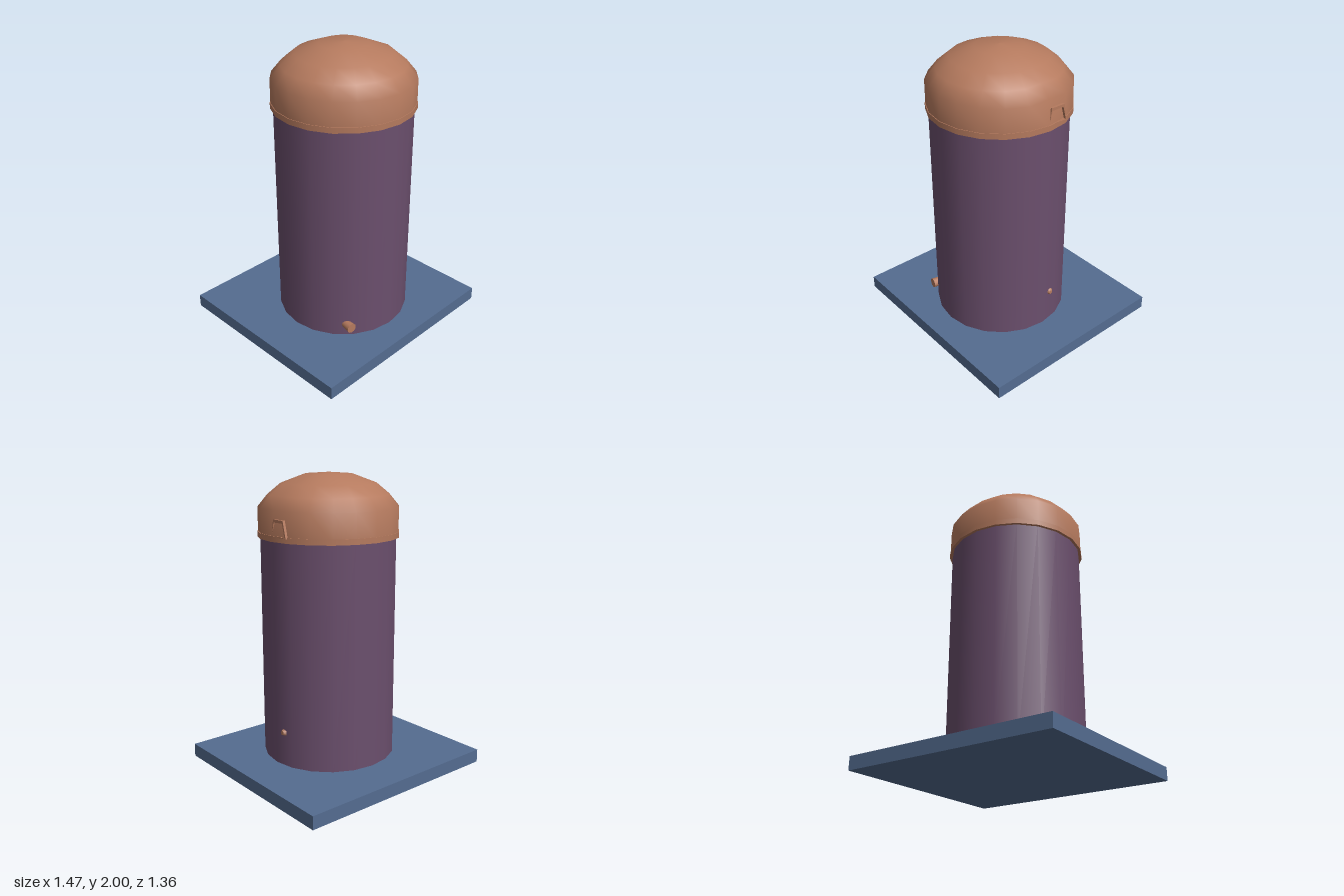
import * as THREE from 'three';

const SIDES = 20;
const CX = 0.006, CZ = 0.055; // axis of the tank

function material(name, color) {
  const m = new THREE.MeshStandardMaterial({ color });
  m.name = name;
  return m;
}

export function createModel() {
  const group = new THREE.Group();
  const blue = material('slate blue', 0x546c90);
  const purple = material('dusky purple', 0x6b4f6d);
  const copper = material('copper', 0xb57a5e);

  const add = (name, geometry, mat, x, y, z) => {
    const mesh = new THREE.Mesh(geometry, mat);
    mesh.name = name;
    mesh.position.set(x, y, z);
    group.add(mesh);
    return mesh;
  };
  const lathe = (points) =>
    new THREE.LatheGeometry(points.map(([r, y]) => new THREE.Vector2(r, y)), SIDES);

  // Square plinth and smooth tank wall
  add('base', new THREE.BoxGeometry(1.47, 0.09, 1.36), blue, 0, 0.045, 0);
  add('body', new THREE.CylinderGeometry(0.452, 0.452, 1.52, SIDES), purple, CX, 0.85, CZ);

  // Rim collar under the dome
  add('rim', new THREE.CylinderGeometry(0.471, 0.471, 0.037, SIDES), copper, CX, 1.6035, CZ);

  // Dome, slightly flattened on the side that carries the vent
  const dome = lathe([[0.467, 1.6], [0.466, 1.78], [0.4, 1.86], [0.315, 1.93], [0.16, 1.988], [0, 2]]);
  const p = dome.attributes.position;
  for (let i = 0; i < p.count; i++) {
    const onVentSide = p.getX(i) > 0.1 && Math.abs(p.getZ(i)) < 0.01;
    if (onVentSide && p.getY(i) > 1.7) p.setX(i, p.getX(i) * Math.cos(Math.PI / 10));
  }
  dome.computeVertexNormals();
  // Match the normals across the lathe seam
  const n = dome.attributes.normal;
  const rows = 6;
  for (let j = 0; j < rows; j++) {
    const end = SIDES * rows + j;
    const v = new THREE.Vector3().fromBufferAttribute(n, j)
      .add(new THREE.Vector3().fromBufferAttribute(n, end)).normalize();
    n.setXYZ(j, v.x, v.y, v.z);
    n.setXYZ(end, v.x, v.y, v.z);
  }
  add('dome', dome, copper, CX, 0, CZ);

  // Trapezoid vent frame on the left side of the dome
  const outline = new THREE.Shape([
    new THREE.Vector2(-0.06, 1.615), new THREE.Vector2(0.09, 1.615),
    new THREE.Vector2(0.062, 1.725), new THREE.Vector2(-0.038, 1.725),
  ]);
  outline.holes.push(new THREE.Path([
    new THREE.Vector2(-0.054, 1.62), new THREE.Vector2(-0.034, 1.707),
    new THREE.Vector2(0.054, 1.707), new THREE.Vector2(0.078, 1.62),
  ]));
  const vent = new THREE.ExtrudeGeometry(outline, { depth: 0.04, bevelEnabled: false });
  vent.rotateY(Math.PI / 2);
  add('ventFrame', vent, copper, 0.427, 0, 0);

  // Drain knob at the front, flaring outward
  const knob = new THREE.CylinderGeometry(0.034, 0.024, 0.14, 12);
  knob.rotateX(Math.PI / 2);
  knob.rotateY(-0.15);
  add('drainKnob', knob, copper, -0.29, 0.17, 0.368);

  // Small stud on the left side
  const stud = new THREE.CylinderGeometry(0.016, 0.032, 0.03, 5);
  stud.rotateZ(-Math.PI / 2);
  add('sideStud', stud, copper, 0.448, 0.322, -0.012);

  return group;
}
